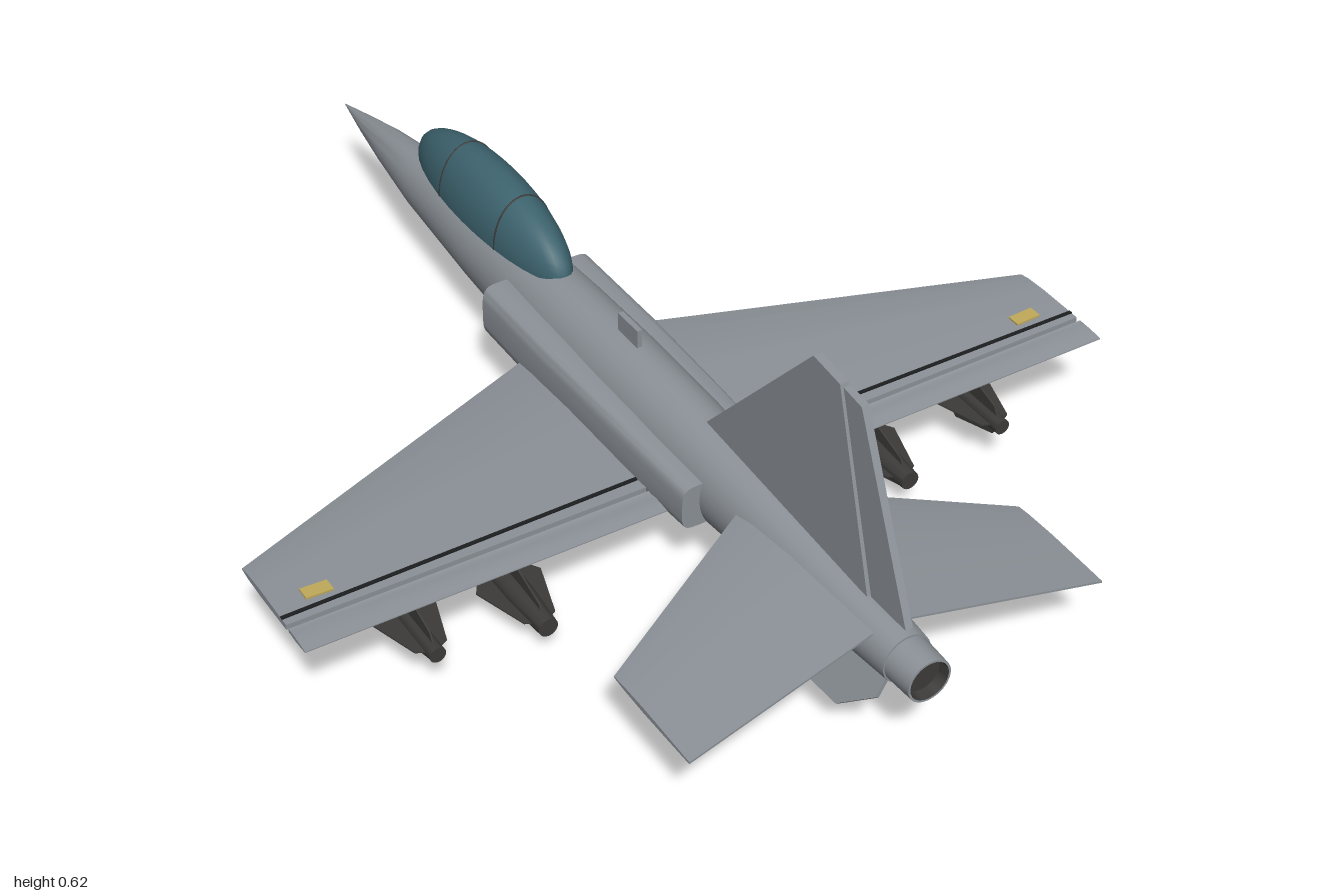
import * as THREE from 'three';
import { toCreasedNormals } from 'three/addons/utils/BufferGeometryUtils.js';

const mat = (name, color) => {
  const m = new THREE.MeshStandardMaterial({ color });
  m.name = name;
  return m;
};

// Closed skin through rings of equal point count, always facing outward
function loft(rings, crease = 0.6) {
  const n = rings[0].length, pos = rings.flat(2), idx = [];
  for (let r = 0; r < rings.length - 1; r++) {
    for (let i = 0; i < n; i++) {
      const a = r * n + i, b = r * n + (i + 1) % n;
      idx.push(a, b, a + n, b, b + n, a + n);
    }
  }
  const last = (rings.length - 1) * n;
  for (let i = 1; i < n - 1; i++) idx.push(0, i + 1, i, last, last + i, last + i + 1);
  let volume = 0;
  const v = k => new THREE.Vector3().fromArray(pos, idx[k] * 3);
  for (let k = 0; k < idx.length; k += 3) volume += v(k).dot(v(k + 1).cross(v(k + 2)));
  if (volume < 0) idx.reverse();
  const g = new THREE.BufferGeometry();
  g.setAttribute('position', new THREE.Float32BufferAttribute(pos, 3));
  g.setIndex(idx);
  return toCreasedNormals(g, crease);
}

// Rounded cross-section at one z; power 1 is an ellipse, smaller is boxier
function ring(z, cx, cy, rx, ry, power = 1, n = 28) {
  const bend = t => Math.sign(t) * Math.abs(t) ** power;
  return Array.from({ length: n }, (_, i) => {
    const a = i / n * Math.PI * 2;
    return [cx + rx * bend(Math.cos(a)), cy + ry * bend(Math.sin(a)), z];
  });
}

// Aerofoil-like section at one x, from front z0 to rear z1
function foil(x, y, z0, z1, front, mid, rear) {
  const stations = [[0, front], [0.12, mid * 0.7], [0.4, mid], [0.75, (mid + rear) / 2], [1, rear]];
  const side = s => stations.map(([t, h]) => [x, y + s * h, z0 + (z1 - z0) * t]);
  return [...side(1), ...side(-1).reverse()];
}

// Upright plate from [z, y] points, centred on x = 0
function plate(points, thick) {
  const shape = new THREE.Shape(points.map(p => new THREE.Vector2(...p)));
  const g = new THREE.ExtrudeGeometry(shape, { depth: thick, bevelEnabled: false });
  return g.rotateY(-Math.PI / 2).translate(thick / 2, 0, 0);
}

// Turned body along z from [radius, z] points
const turned = (points, seg = 20) => toCreasedNormals(
  new THREE.LatheGeometry(points.map(p => new THREE.Vector2(...p)), seg).rotateX(Math.PI / 2), 0.6);

export function createModel() {
  const grey = mat('airframe grey', 0x8c9298);
  const glass = mat('canopy teal', 0x3d636e);
  const dark = mat('store charcoal', 0x3c3b3a);
  const pale = mat('pylon grey', 0xa2a7ac);
  const black = mat('panel line black', 0x1c1e20);
  const yellow = mat('light yellow', 0xc0aa5a);
  dark.side = THREE.DoubleSide;

  const model = new THREE.Group();
  model.name = 'jetAircraft';
  const add = (name, geo, m, x = 0, y = 0, z = 0, parent = model) => {
    const mesh = new THREE.Mesh(geo, m);
    mesh.name = name;
    mesh.position.set(x, y, z);
    parent.add(mesh);
    return mesh;
  };

  // Fuselage: z, centre y, half width, half height
  const stations = [
    [-1, 0.185, 0.001, 0.001], [-0.9, 0.188, 0.018, 0.023], [-0.8, 0.192, 0.033, 0.042],
    [-0.65, 0.196, 0.052, 0.062], [-0.4, 0.199, 0.068, 0.083], [-0.1, 0.198, 0.078, 0.1],
    [0.1, 0.199, 0.08, 0.103], [0.3, 0.203, 0.076, 0.097], [0.55, 0.205, 0.065, 0.077],
    [0.8, 0.206, 0.055, 0.058], [0.94, 0.207, 0.046, 0.047],
  ];
  add('fuselage', loft(stations.map(([z, y, rx, ry]) => ring(z, 0, y, rx, ry))), grey);

  // Exhaust
  add('nozzle', turned([[0.044, 0.92], [0.041, 1], [0.037, 1]], 24), grey, 0, 0.207);
  add('nozzleInside', turned([[0.037, 1], [0.034, 0.98], [0, 0.98]], 24), dark, 0, 0.207);

  // Canopy with two thin frames
  const cz = -0.38, cy = 0.285, cr = [0.068, 0.106, 0.27];
  add('canopy', new THREE.SphereGeometry(1, 32, 14, 0, Math.PI * 2, 0, Math.PI / 2).scale(...cr), glass, 0, cy, cz);
  add('canopyBase', new THREE.CircleGeometry(1, 32).rotateX(Math.PI / 2).scale(cr[0], 1, cr[2]), glass, 0, cy, cz);
  for (const z of [-0.475, -0.27]) {
    const k = Math.sqrt(1 - ((z - cz) / cr[2]) ** 2);
    const arch = new THREE.TorusGeometry(1, 0.02, 6, 24, Math.PI).scale(cr[0] * k, cr[1] * k, 0.1);
    add('canopyFrame', arch, dark, 0, cy, z);
  }

  // Fin and rudder
  add('fin', plate([[0.36, 0.285], [0.66, 0.625], [0.733, 0.617], [0.838, 0.262], [0.6, 0.262]], 0.016), grey);
  add('rudder', plate([[0.741, 0.616], [0.79, 0.61], [0.94, 0.268], [0.847, 0.268]], 0.014), grey);

  // Dorsal aerial and chin probe
  add('dorsalAerial', new THREE.BoxGeometry(0.01, 0.05, 0.064), grey, 0, 0.312, 0.108);
  add('chinProbe', new THREE.BoxGeometry(0.014, 0.013, 0.14), grey, 0, 0.126, -0.67);

  // Store outlines, measured from the nose
  const bomb = [[0, 0.02], [0.015, 0.045], [0.025, 0.085], [0.025, 0.36], [0.018, 0.455], [0, 0.455]];
  const missile = [[0, 0.025], [0.015, 0.085], [0.015, 0.45], [0, 0.45]];

  for (const s of [1, -1]) {
    const side = new THREE.Group();
    side.name = s > 0 ? 'leftSide' : 'rightSide';
    model.add(side);
    const put = (name, geo, m, x = 0, y = 0, z = 0) => add(name, geo, m, x, y, z, side);

    // Air intake
    put('intake', loft([
      ring(-0.22, s * 0.075, 0.194, 0.04, 0.055, 0.5), ring(0, s * 0.075, 0.194, 0.041, 0.056, 0.5),
      ring(0.25, s * 0.072, 0.194, 0.039, 0.052, 0.5), ring(0.445, s * 0.066, 0.194, 0.038, 0.044, 0.5),
    ]), grey);
    put('intakeMouth', loft([
      ring(-0.223, s * 0.077, 0.194, 0.034, 0.049, 0.5), ring(-0.219, s * 0.077, 0.194, 0.034, 0.049, 0.5),
    ]), dark);

    // Wing, flap and hinge line
    put('wing', loft([
      foil(s * 0.04, 0.158, -0.118, 0.333, 0.002, 0.014, 0.009),
      foil(s * 0.8, 0.198, 0.2, 0.364, 0.001, 0.007, 0.005),
    ]), grey);
    put('flap', loft([
      foil(s * 0.1, 0.161, 0.344, 0.398, 0.007, 0.007, 0.001),
      foil(s * 0.8, 0.198, 0.373, 0.432, 0.004, 0.004, 0.001),
    ]), grey);
    put('hingeLine', loft([
      foil(s * 0.11, 0.172, 0.306, 0.313, 0.0015, 0.0015, 0.0015),
      foil(s * 0.8, 0.204, 0.343, 0.35, 0.0015, 0.0015, 0.0015),
    ]), black);
    put('wingLight', new THREE.BoxGeometry(0.05, 0.006, 0.026), yellow, s * 0.72, 0.201, 0.312).rotation.z = s * 0.05;

    // Drooping tailplane
    put('tailplane', loft([
      foil(s * 0.03, 0.241, 0.525, 0.895, 0.001, 0.009, 0.002),
      foil(s * 0.4, 0.178, 0.712, 0.933, 0.001, 0.005, 0.002),
    ]), grey);

    // Splayed ventral fin
    const ventral = put('ventralFin', plate([[0.68, 0.02], [0.77, -0.079], [0.87, -0.075], [0.935, -0.015], [0.935, 0.02]], 0.007),
      grey, s * 0.042, 0.156);
    ventral.rotation.z = s * 0.5;

    // Pylons and stores
    const loads = [
      ['bomb', bomb, 0.37, 0.065, 0.025, 0.145, 0.172],
      ['missile', missile, 0.575, 0.098, 0.015, 0.225, 0.185],
    ];
    for (const [name, outline, x, y, r, pz, top] of loads) {
      put(name + 'Pylon', new THREE.BoxGeometry(0.009, top - y - r + 0.006, 0.13), pale, s * x, (top + y + r) / 2, pz);
      put(name, turned(outline), dark, s * x, y);
      for (let i = 0; i < 4; i++) {
        const fin = plate([[0.22, 0], [0.32, 0.063], [0.425, 0.03], [0.44, 0]], 0.003);
        put(name + 'Fin', fin, dark, s * x, y).rotation.z = i * Math.PI / 2;
      }
    }
  }
  return model;
}
